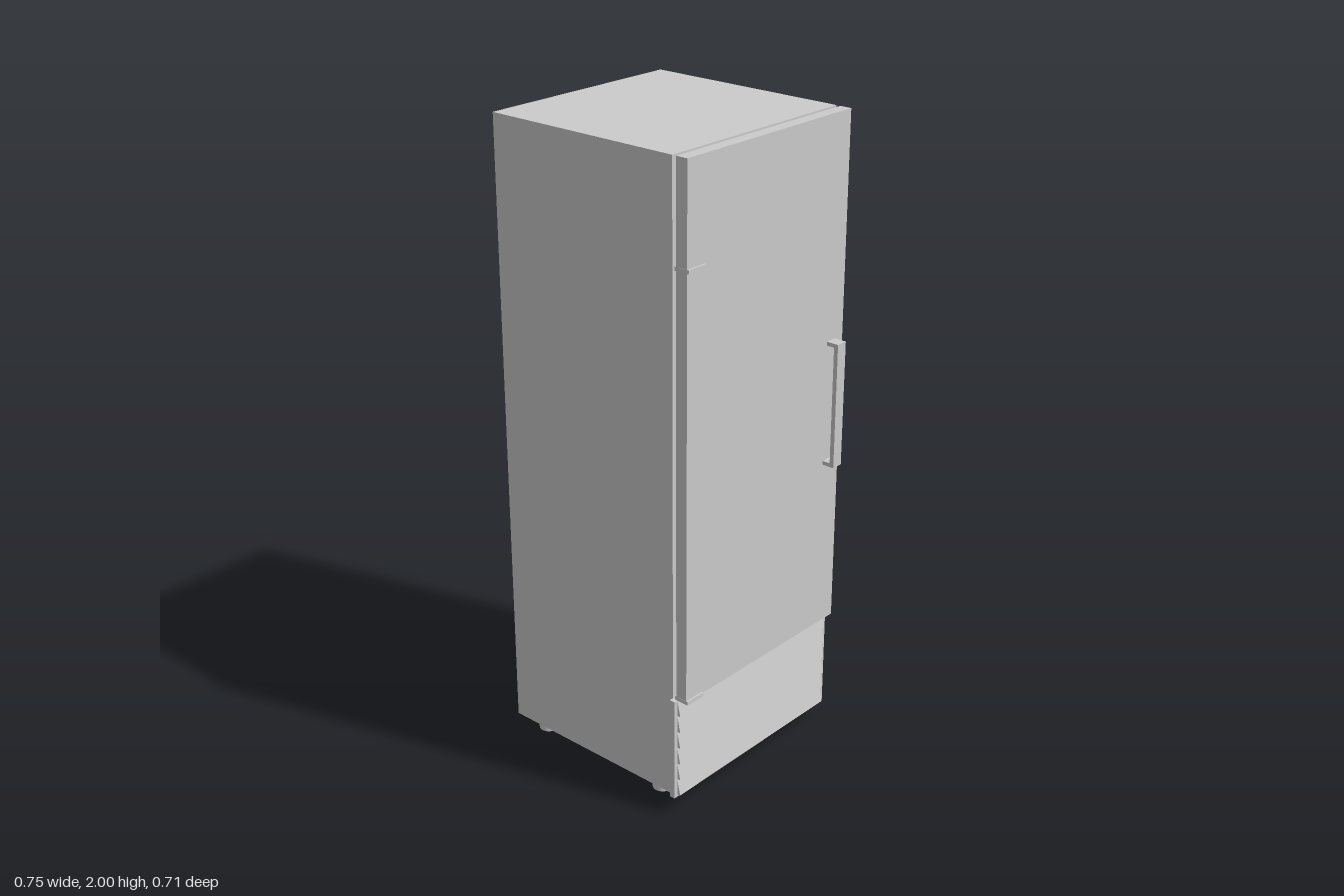
import * as THREE from 'three';

const mat = new THREE.MeshStandardMaterial({ color: 0xcccccc });

export function createModel() {
  const group = new THREE.Group();

  const add = (name, geometry) => {
    const mesh = new THREE.Mesh(geometry, mat);
    mesh.name = name;
    group.add(mesh);
    return mesh;
  };
  // Box given by its extents on each axis
  const box = (name, [x0, x1], [y0, y1], [z0, z1]) =>
    add(name, new THREE.BoxGeometry(x1 - x0, y1 - y0, z1 - z0))
      .position.set((x0 + x1) / 2, (y0 + y1) / 2, (z0 + z1) / 2);

  // Cabinet and the door standing just off its +x face
  const width = [-0.343, 0.343];
  box('cabinet', [-0.375, 0.284], [0.058, 2], width);
  box('door', [0.297, 0.335], [0.397, 2], width);

  // Hinge plates at the +z edge of the door
  for (const y of [0.397, 1.7]) {
    box('hinge', [0.292, 0.341], [y - 0.006, y + 0.006], [0.273, 0.3435]);
  }

  // Door handle: upright bar on two posts
  const grip = [-0.307, -0.27];
  box('handleBar', [0.361, 0.375], [0.938, 1.33], grip);
  for (const y of [0.938, 1.318]) {
    box('handlePost', [0.335, 0.361], [y, y + 0.012], grip);
  }

  // Ventilation grille: back plate with wedge slats overhanging downwards
  box('grillePlate', [0.284, 0.302], [0.058, 0.392], [-0.357, 0.357]);
  const wedge = new THREE.Shape([
    new THREE.Vector2(0.301, 0),
    new THREE.Vector2(0.312, 0),
    new THREE.Vector2(0.302, 0.046),
    new THREE.Vector2(0.301, 0.046),
  ]);
  const slat = new THREE.ExtrudeGeometry(wedge, { depth: 0.686, bevelEnabled: false });
  for (let i = 0; i < 6; i++) {
    add('grilleSlat', slat).position.set(0, 0.066 + i * 0.0548, -0.343);
  }

  // Four round feet
  const foot = new THREE.CylinderGeometry(0.031, 0.031, 0.06, 24);
  for (const x of [-0.312, 0.177]) {
    for (const z of [-0.27, 0.27]) add('foot', foot).position.set(x, 0.03, z);
  }

  return group;
}
